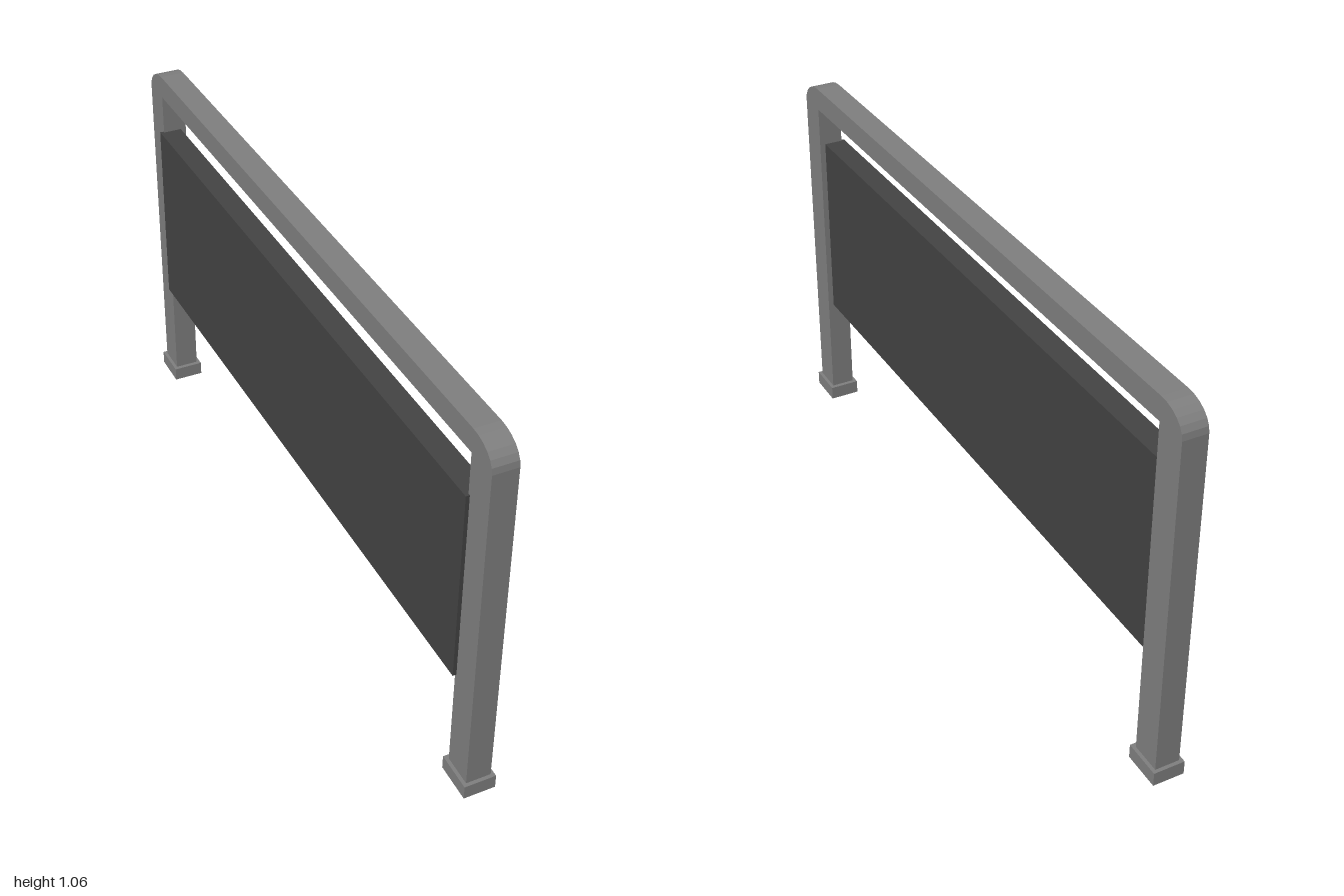
import * as THREE from 'three';

const frameMaterial = new THREE.MeshStandardMaterial({ color: 0x808080, flatShading: true });
const panelMaterial = new THREE.MeshStandardMaterial({ color: 0x444444, flatShading: true });

function addBox(parent, name, material, size, position) {
  const mesh = new THREE.Mesh(new THREE.BoxGeometry(...size), material);
  mesh.name = name;
  mesh.position.set(...position);
  parent.add(mesh);
}

// Arch outline in the z-y plane: straight legs, rounded outer corners, square inner corners
function createFrame() {
  const outer = 0.99, inner = 0.904, top = 1.059, underside = 0.995, width = 0.068;
  const rx = outer - inner, ry = top - underside;
  const shape = new THREE.Shape();
  shape.moveTo(outer, 0.02);
  shape.lineTo(outer, underside);
  shape.absellipse(inner, underside, rx, ry, 0, Math.PI / 2, false);
  shape.lineTo(-inner, top);
  shape.absellipse(-inner, underside, rx, ry, Math.PI / 2, Math.PI, false);
  shape.lineTo(-outer, 0.02);
  shape.lineTo(-inner, 0.02);
  shape.lineTo(-inner, underside);
  shape.lineTo(inner, underside);
  shape.lineTo(inner, 0.02);
  shape.closePath();

  const geometry = new THREE.ExtrudeGeometry(shape, { depth: width, bevelEnabled: false, curveSegments: 3 });
  geometry.translate(0, 0, -width / 2);
  geometry.rotateY(Math.PI / 2);
  const frame = new THREE.Mesh(geometry, frameMaterial);
  frame.name = 'archFrame';
  return frame;
}

export function createModel() {
  const model = new THREE.Group();
  model.name = 'barrier';
  model.add(createFrame());

  // Infill panel, slightly proud of the frame on the -x side
  addBox(model, 'panel', panelMaterial, [0.062, 0.546, 1.82], [-0.013, 0.609, 0]);

  // Feet under both legs
  for (const side of [1, -1]) {
    addBox(model, side > 0 ? 'frontFoot' : 'backFoot', frameMaterial,
      [0.087, 0.04, 0.108], [0, 0.02, side * 0.946]);
  }
  return model;
}
